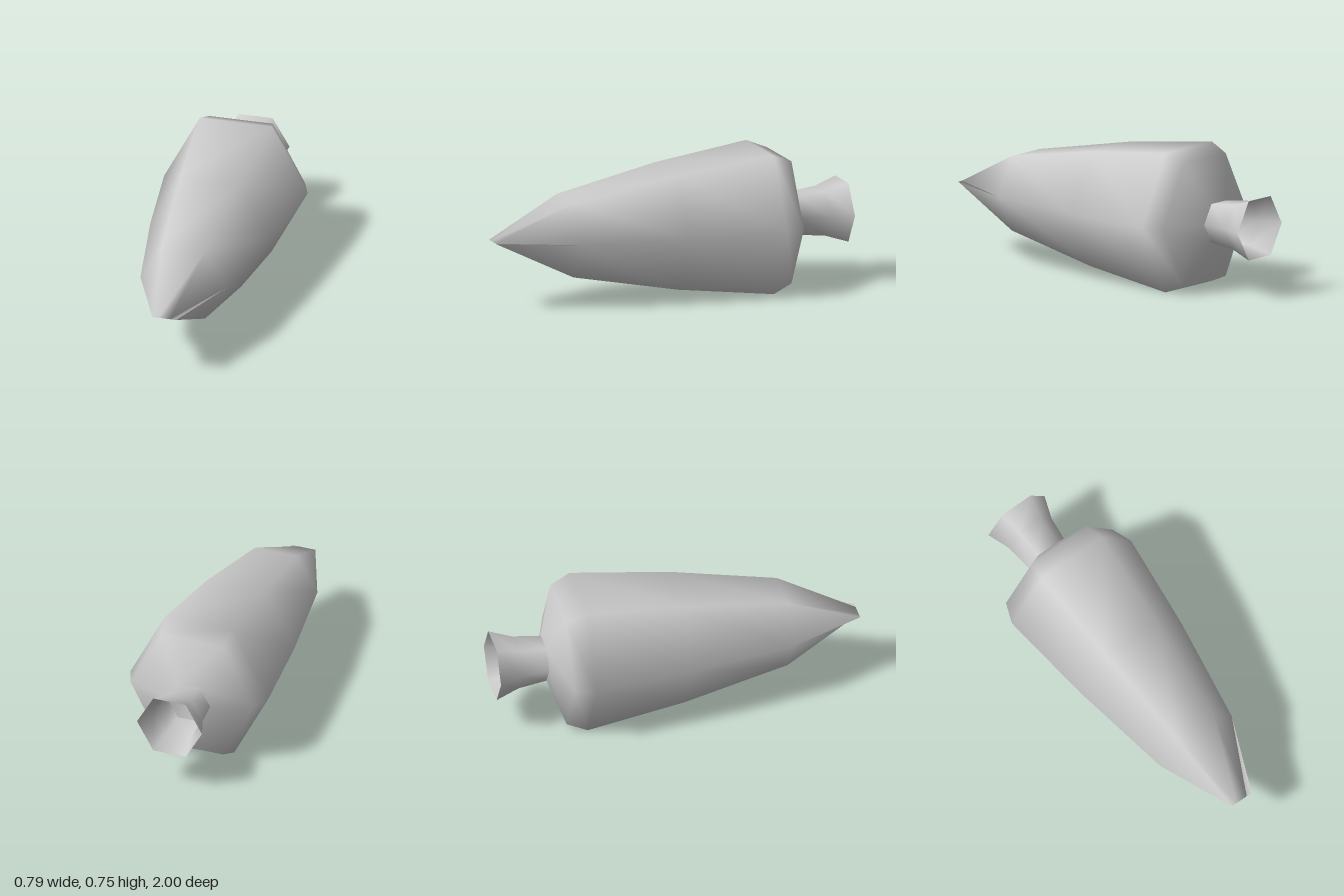
import * as THREE from 'three';
import { mergeVertices } from 'three/addons/utils/BufferGeometryUtils.js';

const SIDES = 6;
const CENTRE_Y = 0.38;

// Skin six-sided rings [z, halfWidth, halfHeight], ordered front to back.
function loft(rings, centreX) {
  const positions = [];
  const index = [];
  for (const [z, halfWidth, halfHeight] of rings) {
    for (let i = 0; i < SIDES; i++) {
      const angle = (i / SIDES) * Math.PI * 2;
      const y = (Math.sin(angle) / Math.sin(Math.PI / 3)) * halfHeight;
      positions.push(centreX + Math.cos(angle) * halfWidth, CENTRE_Y + y, z);
    }
  }
  for (let r = 0; r < rings.length - 1; r++) {
    for (let i = 0; i < SIDES; i++) {
      const j = (i + 1) % SIDES;
      const a = r * SIDES + i;
      const b = r * SIDES + j;
      index.push(a, a + SIDES, b, b, a + SIDES, b + SIDES);
    }
  }
  const geometry = new THREE.BufferGeometry();
  geometry.setAttribute('position', new THREE.Float32BufferAttribute(positions, 3));
  geometry.setIndex(index);
  // Weld the flat tip so its shading wraps smoothly from top to bottom.
  const welded = mergeVertices(geometry);
  welded.computeVertexNormals();
  return welded;
}

export function createModel() {
  const model = new THREE.Group();
  model.name = 'taperedPod';

  const grey = new THREE.MeshStandardMaterial({ color: 0xcccccc, side: THREE.DoubleSide });
  grey.name = 'light grey';

  // Tapered body, closing to a short horizontal edge at the front
  const body = new THREE.Mesh(loft([
    [1.0, 0.065, 0],
    [0.59, 0.236, 0.202],
    [0.01, 0.332, 0.311],
    [-0.525, 0.393, 0.377],
    [-0.635, 0.35, 0.333],
    [-0.72, 0.123, 0.104],
  ], 0), grey);
  body.name = 'body';
  // The rear opening meets the slightly offset neck
  const position = body.geometry.attributes.position;
  for (let i = 0; i < position.count; i++) {
    if (position.getZ(i) < -0.7) position.setX(i, position.getX(i) - 0.013);
  }
  body.geometry.computeVertexNormals();

  // Open flared neck at the back
  const neck = new THREE.Mesh(loft([
    [-0.72, 0.123, 0.104],
    [-0.875, 0.14, 0.121],
    [-1.0, 0.185, 0.16],
  ], -0.013), grey);
  neck.name = 'flaredNeck';

  model.add(body, neck);
  return model;
}
